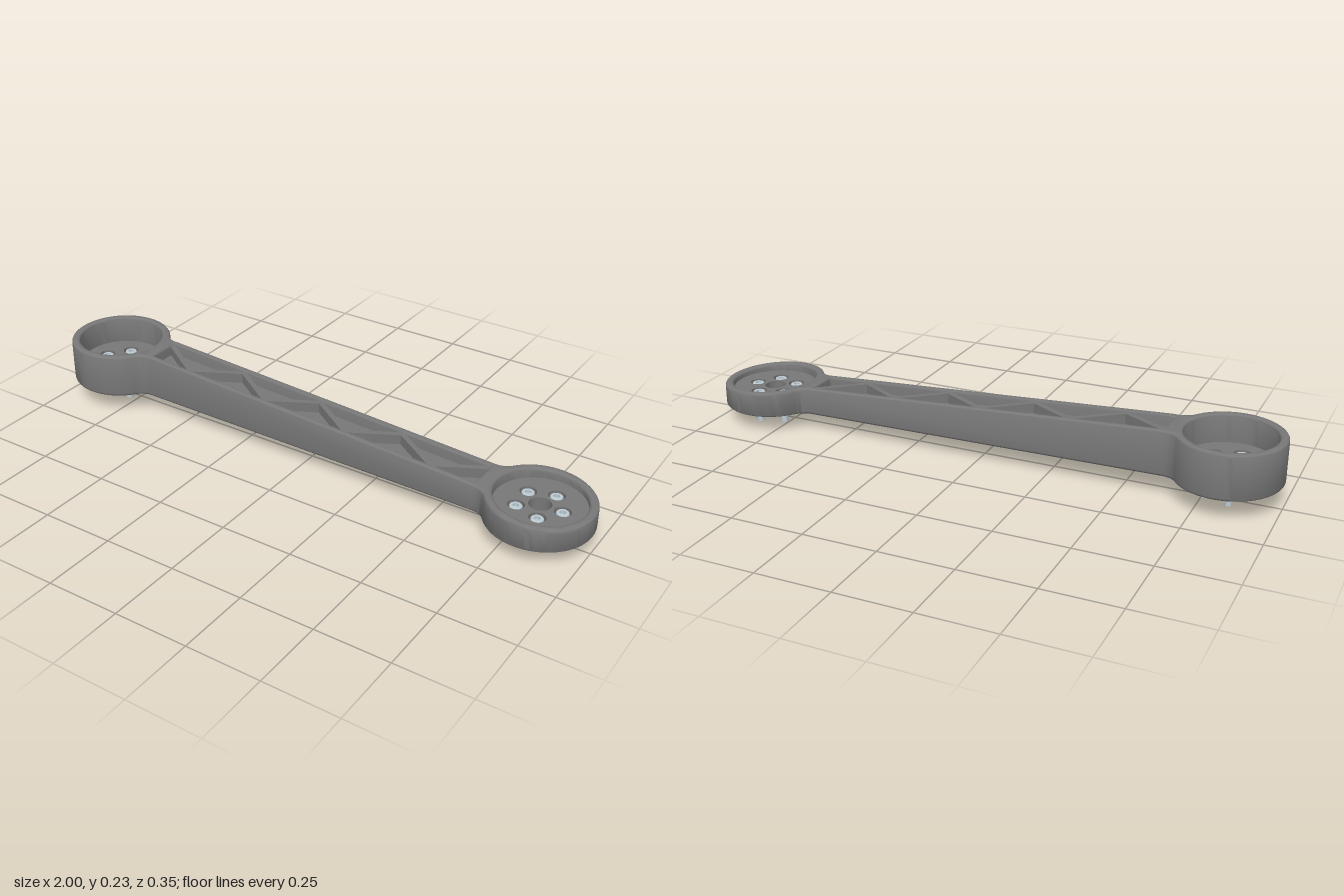
import * as THREE from 'three';
import { toCreasedNormals } from 'three/addons/utils/BufferGeometryUtils.js';

const CUP_X = 0.825, CUP_R = 0.175, CUP_IN = 0.146; // round ends
const ARM = 0.077, FILLET = 0.06, KINK = -0.62;     // arm half width, blend radius, start of taper
const POCKET_X = 0.63, POCKET_Z = 0.054, FLOOR = 0.057;

const bottomAt = x => 0.066 - 0.009 * x;
const topAt = x => 0.226 - 0.056 * Math.max(0, x - KINK);

const bodyMat = new THREE.MeshStandardMaterial({ color: 0x777777 });
const steelMat = new THREE.MeshStandardMaterial({ color: 0xbccad2 });

// Move every vertex to the height given by rule(x, y)
function warp(geo, rule) {
  const p = geo.attributes.position;
  for (let i = 0; i < p.count; i++) p.setY(i, rule(p.getX(i), p.getY(i)));
  return toCreasedNormals(geo, 0.6);
}

function add(parent, name, geo, mat = bodyMat) {
  const mesh = new THREE.Mesh(geo, mat);
  mesh.name = name;
  parent.add(mesh);
  return mesh;
}

// Extrude a plan shape upwards
function slab(shape, height, bevel = 0) {
  return new THREE.ExtrudeGeometry(shape, {
    depth: height - 2 * bevel, bevelEnabled: bevel > 0, bevelSize: bevel, bevelThickness: bevel,
    bevelOffset: -bevel, bevelSegments: 4, curveSegments: 32,
  }).rotateX(-Math.PI / 2).translate(0, bevel, 0);
}

const circle = (x, y, r) => new THREE.Path().absarc(x, y, r, 0, Math.PI * 2, false);

// Dumbbell plan with concave blends where the arm meets the ends
function outline() {
  const PI = Math.PI, fz = ARM + FILLET;
  const dx = Math.sqrt((CUP_R + FILLET) ** 2 - fz ** 2), fx = CUP_X - dx, a = Math.atan2(fz, dx);
  const s = new THREE.Shape();
  s.moveTo(-fx, -ARM).lineTo(KINK, -ARM).lineTo(fx, -ARM);
  s.absarc(fx, -fz, FILLET, PI / 2, a, true);
  s.absarc(CUP_X, 0, CUP_R, a - PI, PI - a, false);
  s.absarc(fx, fz, FILLET, -a, -PI / 2, true);
  s.lineTo(KINK, ARM).lineTo(-fx, ARM);
  s.absarc(-fx, fz, FILLET, -PI / 2, a - PI, true);
  s.absarc(-CUP_X, 0, CUP_R, a, 2 * PI - a, false);
  s.absarc(-fx, -fz, FILLET, PI - a, PI / 2, true);
  const pts = s.getPoints(32);
  return new THREE.Shape(pts.filter((p, i) => p.distanceTo(pts[(i || pts.length) - 1]) > 1e-4));
}

// Bolt positions on a ring, first one pointing away from the arm
const boltSpots = side => Array.from({ length: 5 }, (_, i) => {
  const a = i * Math.PI * 2 / 5;
  return [side * (CUP_X + 0.074 * Math.cos(a)), 0.074 * Math.sin(a)];
});

export function createModel() {
  const model = new THREE.Group();
  model.name = 'linkArm';

  // Outer wall: bottom edge follows the underside, top edge follows the taper
  const wall = outline();
  const pocket = new THREE.Path();
  pocket.moveTo(-POCKET_X, -POCKET_Z).lineTo(KINK, -POCKET_Z).lineTo(POCKET_X, -POCKET_Z);
  pocket.lineTo(POCKET_X, POCKET_Z).lineTo(KINK, POCKET_Z).lineTo(-POCKET_X, POCKET_Z);
  pocket.closePath();
  wall.holes.push(pocket, circle(CUP_X, 0, CUP_IN), circle(-CUP_X, 0, CUP_IN));
  add(model, 'outerWall', warp(slab(wall, 0.15, 0.01),
    (x, y) => y < 0.075 ? bottomAt(x) + y : topAt(x) - (0.15 - y)));

  // Pocket floor of the arm
  add(model, 'armFloor', warp(new THREE.BoxGeometry(1.29, 1, 0.136, 32, 1, 1),
    (x, y) => y < 0 ? bottomAt(x) : topAt(x) - 0.04));

  // Zigzag truss ribs
  const ribs = new THREE.Group();
  ribs.name = 'trussRibs';
  model.add(ribs);
  const step = POCKET_X / 4, reach = 0.05;
  for (let i = 0; i < 8; i++) {
    const dir = i % 2 ? 1 : -1;
    const rib = new THREE.BoxGeometry(Math.hypot(step, 2 * reach) + 0.012, 1, 0.018);
    rib.rotateY(dir * Math.atan2(2 * reach, step));
    rib.translate(-POCKET_X + (i + 0.5) * step, 0, 0);
    add(ribs, 'rib', warp(rib, (x, y) => y < 0 ? bottomAt(x) + 0.03 : topAt(x) - 0.006));
  }

  // Socket-head bolt
  const headGeo = toCreasedNormals(new THREE.LatheGeometry(
    [[0, 0.044], [0.01, 0.044], [0.01, 0.055], [0.018, 0.055], [0.02, 0.053], [0.02, 0.03], [0, 0.03]]
      .reverse().map(([r, y]) => new THREE.Vector2(r, y)), 24), 0.6);
  const shaftGeo = new THREE.CylinderGeometry(0.0115, 0.0115, 0.095, 20).translate(0, -0.0095, 0);

  // Floors and bolts of both ends
  for (const side of [-1, 1]) {
    const end = new THREE.Group();
    end.name = side < 0 ? 'tallEnd' : 'lowEnd';
    model.add(end);

    const disc = () => {
      const s = new THREE.Shape().absarc(side * CUP_X, 0, 0.162, 0, Math.PI * 2, false);
      s.holes.push(circle(side * CUP_X, 0, 0.036));
      return s;
    };
    const upper = disc();
    for (const [x, z] of boltSpots(side)) upper.holes.push(circle(x, -z, 0.027));
    add(end, 'endFloor', warp(slab(disc(), 0.037), (x, y) => bottomAt(x) + y));
    add(end, 'counterboredFloor', warp(slab(upper, FLOOR - 0.037), (x, y) => bottomAt(x) + 0.037 + y));

    for (const [x, z] of boltSpots(side)) {
      const bolt = new THREE.Group();
      bolt.name = 'bolt';
      bolt.position.set(x, bottomAt(x), z);
      add(bolt, 'boltHead', headGeo, steelMat);
      add(bolt, 'boltShaft', shaftGeo, steelMat);
      end.add(bolt);
    }
  }
  return model;
}
